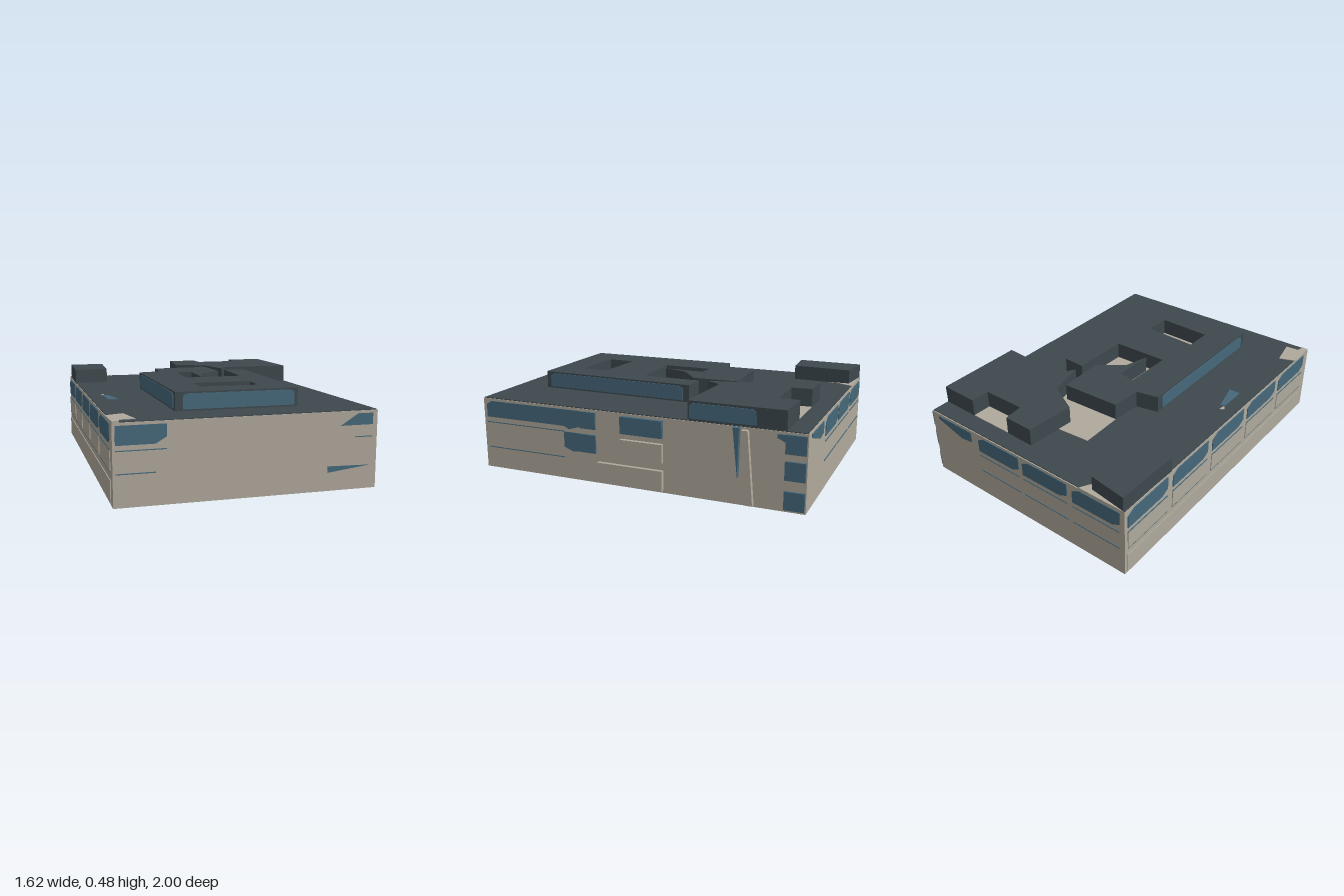
import * as THREE from 'three';

const material = (name, color) => {
  const m = new THREE.MeshStandardMaterial({ color });
  m.name = name;
  return m;
};

export function createModel() {
  const stone = material('stone', 0xb0a99c);
  const slate = material('slate', 0x3d484d);
  const glass = material('glass', 0x46687a);
  const building = new THREE.Group();
  building.name = 'building';

  const add = (name, geometry, mat, parent = building) => {
    const mesh = new THREE.Mesh(geometry, mat);
    mesh.name = name;
    parent.add(mesh);
    return mesh;
  };
  const outline = (pts, C = THREE.Shape) => new C(pts.map(([x, y]) => new THREE.Vector2(x, y)));
  const extrude = (shape, depth) => new THREE.ExtrudeGeometry(shape, { depth, bevelEnabled: false });

  // Upright prism over a plan outline given as [x, z] points
  function prism(name, plan, y0, y1, mat, hole) {
    const flip = (pts) => pts.map(([x, z]) => [x, -z]);
    const shape = outline(flip(plan));
    if (hole) shape.holes.push(outline(flip(hole), THREE.Path));
    const g = extrude(shape, y1 - y0).rotateX(-Math.PI / 2).translate(0, y0, 0);
    return add(name, g, mat);
  }

  // Wall frame from a to b (left to right seen from outside); s runs 0..1 along it
  function wall(name, a, b) {
    const dx = b[0] - a[0], dz = b[1] - a[1], length = Math.hypot(dx, dz);
    const group = new THREE.Group();
    group.name = name;
    group.position.set(a[0], 0, a[1]);
    group.rotation.y = Math.atan2(-dz, dx);
    building.add(group);
    const plate = (label, pts, mat, depth = 0.004) =>
      add(label, extrude(outline(pts.map(([s, y]) => [s * length, y])), depth), mat, group);
    const panel = (label, s0, s1, y0, y1, mat, depth) =>
      plate(label, [[s0, y0], [s1, y0], [s1, y1], [s0, y1]], mat, depth);
    // Pane with clipped lower right and upper left corners
    const pane = (s0, s1, y0, y1) => {
      const c = (s1 - s0) * 0.15, h = (y1 - y0) * 0.25;
      plate('window', [[s0, y0], [s1 - c, y0], [s1, y0 + h], [s1, y1], [s0 + c, y1], [s0, y1 - h]], glass);
    };
    return { plate, panel, pane };
  }

  const FL = [-0.44, 0.995], FR = [0.805, 0.71], BR = [0.44, -1], BL = [-0.81, -0.74];

  // Main body and roof
  prism('mainBody', [FL, FR, BR, BL], 0, 0.38, stone);
  const inset = ([x, z]) => [x * 0.994, z * 0.994];
  prism('roof', [FL, FR, BR, BL].map(inset), 0.38, 0.384, slate);

  // Pale floors and worn patches on the roof
  const patches = [
    [[-0.3, -0.55], [-0.13, -0.6], [0.08, -0.53], [0.15, -0.29], [0.16, -0.23], [0.26, 0.1], [-0.1, 0.18], [-0.18, -0.11], [-0.25, -0.33]],
    [[-0.08, 0.37], [0.26, 0.32], [0.28, 0.5], [-0.05, 0.55]],
    [[0.01, -0.81], [0.25, -0.86], [0.29, -0.75], [0.04, -0.7]],
    [[-0.81, -0.74], [-0.55, -0.795], [-0.58, -0.7], [-0.57, -0.64], [-0.6, -0.75]],
    [[-0.48, 0.83], [-0.4, 0.78], [-0.34, 0.92], [-0.41, 0.94], [-0.41, 0.985], [-0.44, 0.99]],
    [[-0.55, 0.16], [-0.53, 0.14], [-0.53, 0.18]],
  ];
  patches.forEach((p) => prism('roofPatch', p, 0.38, 0.387, stone));
  prism('skylight', [[-0.53, 0.19], [-0.51, 0.17], [-0.44, 0.32], [-0.5, 0.33]], 0.38, 0.387, glass);

  // Raised storey around an open court
  prism('frontRoofBlock', [
    [-0.34, -0.12], [-0.16, 0.73], [0.44, 0.6], [0.28, -0.25], [0.16, -0.23],
    [0.22, 0.08], [-0.08, 0.15], [-0.13, -0.11], [-0.04, -0.12], [0, 0.1],
    [0.01, -0.04], [0.12, -0.17], [0.06, -0.41], [-0.25, -0.33], [-0.23, -0.17],
  ], 0.38, 0.475, slate, [[-0.06, 0.39], [0.24, 0.34], [0.26, 0.48], [-0.03, 0.535]]);

  // Rear raised block with a notch in its back
  prism('rearRoofBlock', [
    [-0.15, -0.78], [0.01, -0.81], [0.04, -0.71], [0.27, -0.76], [0.25, -0.86], [0.455, -0.9],
    [0.555, -0.43], [0.18, -0.37], [0.15, -0.28], [0.06, -0.47], [-0.12, -0.52],
  ], 0.38, 0.478, slate);
  prism('cornerRoofBlock', [[-0.8, -0.74], [-0.6, -0.755], [-0.55, -0.44], [-0.735, -0.39]], 0.38, 0.463, slate);

  // Glazing on the raised storeys
  const band = (name, a, b, s0, s1) =>
    wall(name, a, b).plate('windowBand', [[s0, 0.392], [s1, 0.392], [s1, 0.455], [s1 - 0.03, 0.467], [s0 + 0.03, 0.467], [s0, 0.455]], glass);
  band('frontGlazing', [-0.16, 0.73], [0.44, 0.6], 0.06, 0.97);
  band('rightGlazing', [0.44, 0.6], [0.28, -0.25], 0.03, 0.96);
  band('leftGlazing', [-0.34, -0.12], [-0.16, 0.73], 0.04, 0.96);
  band('rearBlockGlazing', [0.555, -0.43], [0.455, -0.9], 0.02, 0.7);

  // Front wall
  const front = wall('frontWall', FL, FR);
  front.plate('window', [[0.01, 0.28], [0.15, 0.28], [0.19, 0.31], [0.19, 0.367], [0.01, 0.367]], glass);
  front.plate('window', [[0.85, 0.312], [0.98, 0.312], [0.98, 0.367], [0.92, 0.367]], glass);
  front.plate('lowWindow', [[0.8, 0.09], [0.97, 0.115], [0.8, 0.12]], glass);
  [[0.01, 0.19, 0.253], [0.01, 0.15, 0.15], [0.91, 0.98, 0.253]].forEach(([s0, s1, y]) =>
    front.panel('sill', s0, s1, y, y + 0.004, glass));

  // Left wall: five bays
  const left = wall('leftWall', BL, FL);
  for (let i = 0; i < 5; i++) {
    const s = 0.012 + i * 0.196;
    left.pane(s, s + 0.172, 0.278, 0.368);
    left.panel('bayPanel', s, s + 0.172, 0.155, 0.25, stone);
    left.panel('sill', s, s + 0.172, 0.25, 0.254, glass);
    left.panel('sill', s, s + 0.172, 0.151, 0.155, glass);
  }
  left.panel('basePanel', 0.01, 0.97, 0.01, 0.115, stone);

  // Back wall
  const back = wall('backWall', BR, BL);
  [[0.27, 0.49], [0.51, 0.735], [0.76, 0.98]].forEach(([s0, s1]) => {
    back.pane(s0, s1, 0.278, 0.368);
    back.panel('sill', s0, s1, 0.25, 0.254, glass);
    back.panel('sill', s0, s1, 0.151, 0.155, glass);
  });
  back.plate('window', [[0.04, 0.35], [0.17, 0.3], [0.23, 0.31], [0.23, 0.367], [0.04, 0.367]], glass);

  // Right wall, with bays standing slightly proud
  const right = wall('rightWall', FR, BR);
  const at = (z) => (0.71 - z) / 1.71;
  right.plate('longWindow', [[at(0.69), 0.28], [at(0.23), 0.28], [at(0.2), 0.265], [at(0.14), 0.285], [at(0.14), 0.367], [at(0.66), 0.367], [at(0.69), 0.35]], glass);
  right.plate('window', [[at(0.23), 0.17], [at(0.18), 0.15], [at(0.14), 0.155], [at(0.14), 0.25], [at(0.23), 0.25]], glass);
  right.panel('sill', at(0.69), at(0.23), 0.25, 0.254, glass);
  right.panel('sill', at(0.69), at(0.23), 0.112, 0.116, glass);
  const bays = [
    [0.14, 0.05, 0.28, 0.367, glass, 0.009], [0.14, 0.05, 0.155, 0.25, glass, 0.009],
    [-0.09, -0.31, 0.28, 0.367, glass, 0.02], [-0.09, -0.31, 0.155, 0.25, stone, 0.02],
    [0.04, -0.31, 0.012, 0.115, stone, 0.02],
    ...[0.012, 0.155, 0.28].map((y) => [-0.9, -0.995, y, y + 0.09, glass, 0.012]),
  ];
  bays.forEach(([z0, z1, y0, y1, mat, d]) => right.panel('bay', at(z0), at(z1), y0, y1, mat, d));
  right.plate('slimFin', [[at(-0.685), 0.14], [at(-0.69), 0.38], [at(-0.66), 0.38]], glass, 0.025);
  right.plate('stoneFin', [[at(-0.72), 0.01], [at(-0.76), 0.01], [at(-0.73), 0.37], [at(-0.7), 0.37]], stone, 0.025);
  right.plate('cornerWindow', [[at(-0.86), 0.35], [at(-0.9), 0.33], [at(-0.9), 0.367], [at(-0.86), 0.367]], glass);

  return building;
}
